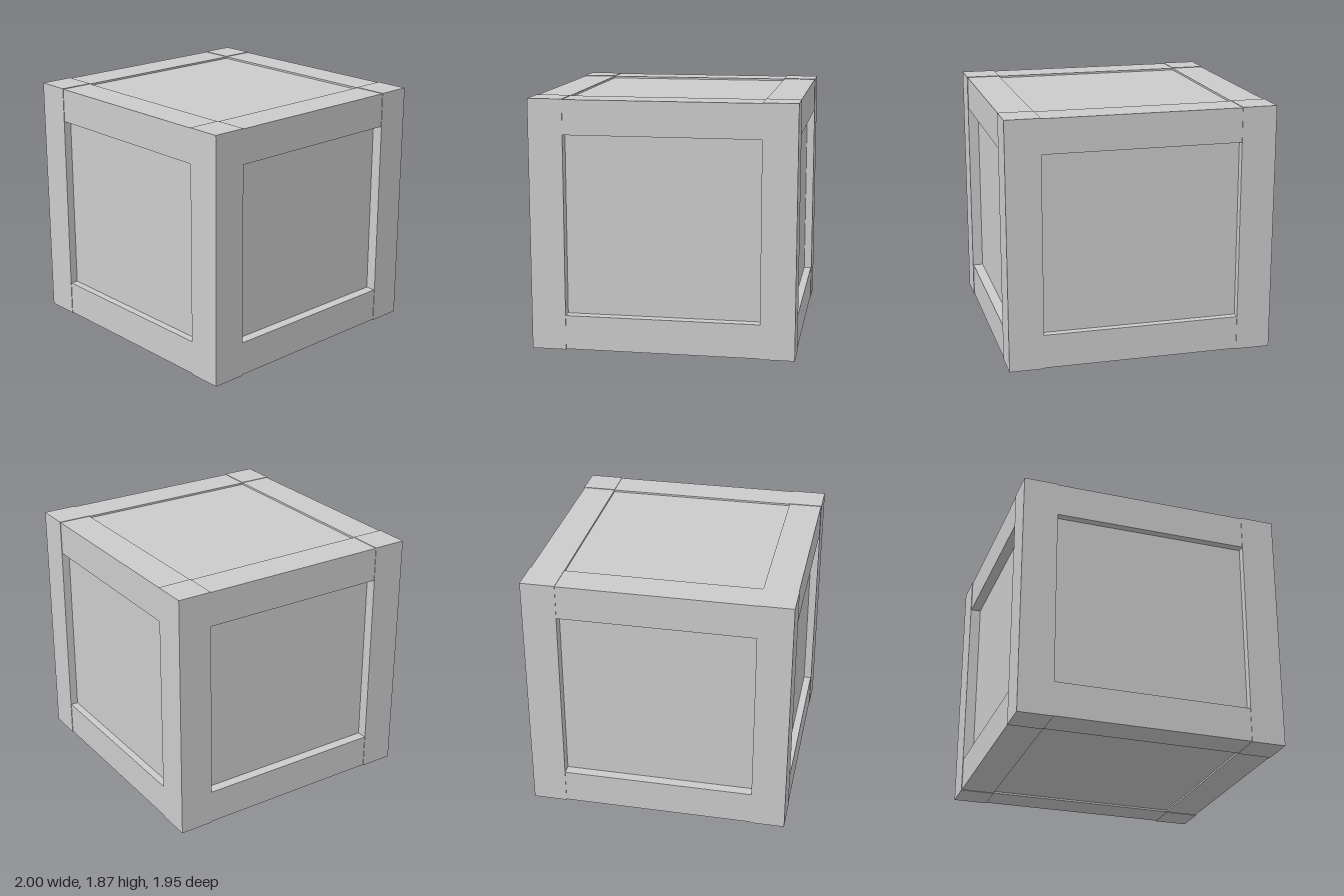
import * as THREE from 'three';

const W = 2, H = 1.865, D = 1.95; // overall size
const BX = 0.26, BY = 0.26, BZ = 0.255; // beam thickness along each axis
const GAP = 0.004; // rails sit slightly behind the posts

export function createModel() {
  const crate = new THREE.Group();
  crate.name = 'crate';
  const material = new THREE.MeshStandardMaterial({ color: 0xcccccc, flatShading: true });

  const addBox = (name, size, position) => {
    const mesh = new THREE.Mesh(new THREE.BoxGeometry(...size), material);
    mesh.name = name;
    mesh.position.set(...position);
    crate.add(mesh);
  };

  // Inner body: its six faces are the recessed panels
  addBox('panelBody', [W - 0.16, H - 0.036, D - 0.12], [0, H / 2, 0]);

  const px = (W - BX) / 2, pz = (D - BZ) / 2;
  for (const a of [-1, 1]) {
    for (const b of [-1, 1]) {
      // Corner posts, full height
      addBox('cornerPost', [BX, H, BZ], [a * px, H / 2, b * pz]);

      // Rails between the posts, along the width and along the depth
      const railY = H / 2 + a * ((H - BY) / 2 - GAP / 2);
      const railHeight = BY - GAP;
      addBox('widthRail', [W - 2 * BX, railHeight, BZ - GAP], [0, railY, b * (pz - GAP / 2)]);
      addBox('depthRail', [BX - GAP, railHeight, D - 2 * BZ], [b * (px - GAP / 2), railY, 0]);
    }
  }
  return crate;
}
